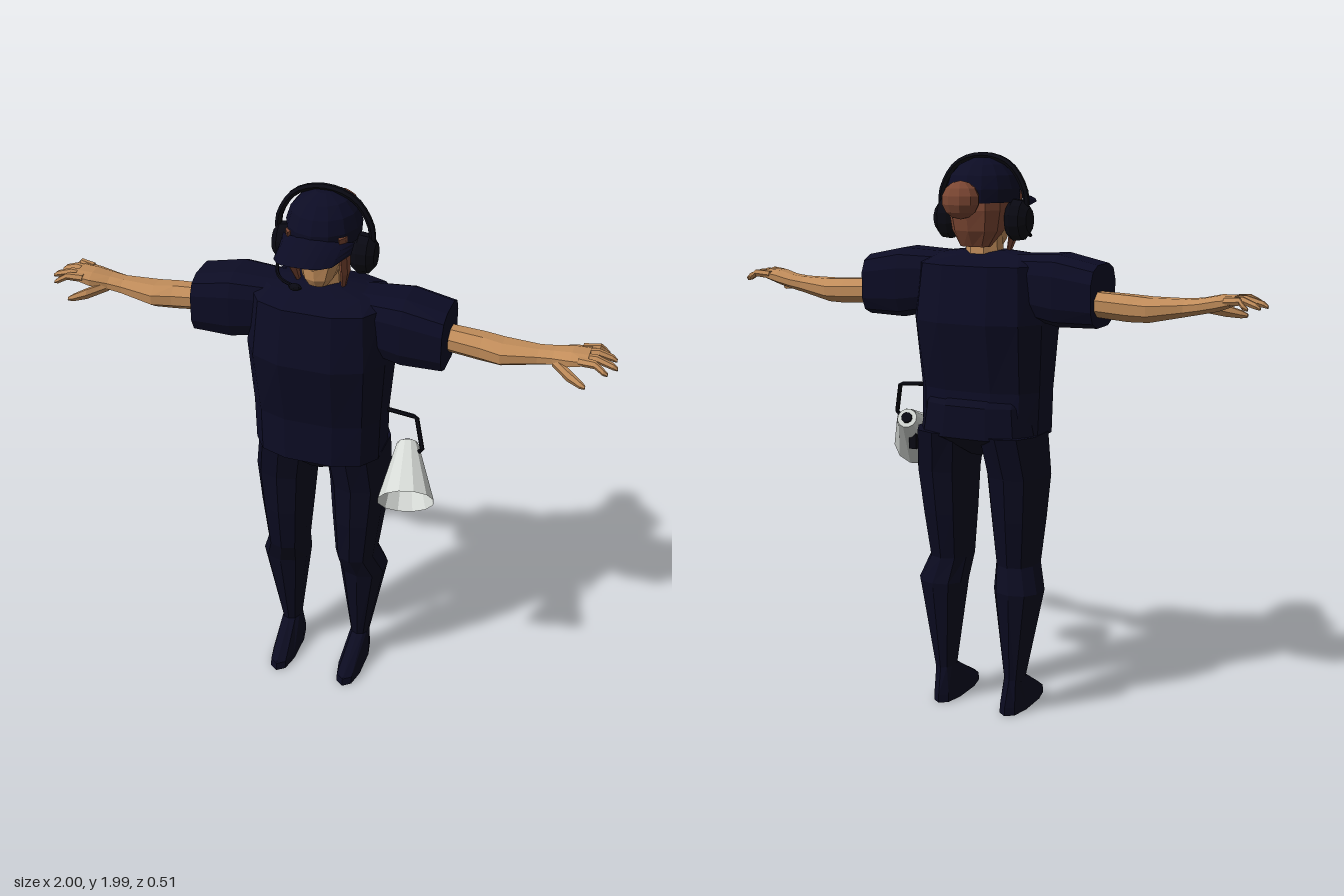
import * as THREE from 'three';

const mat = (name, color) => Object.assign(new THREE.MeshStandardMaterial({ color }), { name });

// Faceted normals
function flat(geo) {
  const g = geo.index ? geo.toNonIndexed() : geo;
  g.computeVertexNormals();
  return g;
}

// Closed skin over rings [y, cx, cz, rx, rz]; e above 2 makes the rings squarer
function loft(rings, n = 10, e = 2) {
  const pos = [], idx = [];
  const pow = (v) => Math.sign(v) * Math.abs(v) ** (2 / e);
  for (const [y, cx, cz, rx, rz] of rings) {
    for (let j = 0; j < n; j++) {
      const a = ((j + 0.5) / n) * Math.PI * 2;
      const k = e > 2 ? 1 : 1 / Math.cos(Math.PI / n);
      pos.push(cx + rx * k * pow(Math.cos(a)), y, cz + rz * k * pow(Math.sin(a)));
    }
  }
  const last = rings.length - 1, bottom = pos.length / 3;
  for (const r of [rings[0], rings[last]]) pos.push(r[1], r[0], r[2]);
  for (let j = 0; j < n; j++) {
    const k = (j + 1) % n;
    for (let i = 0; i < last; i++) {
      const a = i * n + j, b = i * n + k;
      idx.push(a, a + n, b, b, a + n, b + n);
    }
    idx.push(bottom, j, k, bottom + 1, last * n + k, last * n + j);
  }
  const g = new THREE.BufferGeometry();
  g.setAttribute('position', new THREE.Float32BufferAttribute(pos, 3));
  g.setIndex(idx);
  return flat(g);
}

// Loft along x, rings [x, cy, cz, ry, rz]
const loftX = (rings, n, e) =>
  loft(rings.map(([x, cy, cz, ry, rz]) => [x, -cy, cz, ry, rz]), n, e).rotateZ(-Math.PI / 2);

// Ring from z limits: [y, cx, rx, front, back]
const span = (rows) => rows.map(([y, cx, rx, f, b]) => [y, cx, (f + b) / 2, rx, (f - b) / 2]);

// Copy on the other side, with corner order reversed
function mirrored(geo) {
  const g = geo.clone(), p = g.attributes.position;
  for (let i = 0; i < p.count; i += 3) {
    const t = [0, 2, 1].map((k) => [-p.getX(i + k), p.getY(i + k), p.getZ(i + k)]);
    t.forEach((v, k) => p.setXYZ(i + k, ...v));
  }
  g.computeVertexNormals();
  return g;
}

function tube(points, r, straight = false) {
  const vs = points.map((p) => new THREE.Vector3(...p));
  const curve = straight ? new THREE.CurvePath() : new THREE.CatmullRomCurve3(vs);
  if (straight) for (let i = 1; i < vs.length; i++) curve.add(new THREE.LineCurve3(vs[i - 1], vs[i]));
  return flat(new THREE.TubeGeometry(curve, 20, r, 6));
}

export function createModel() {
  const model = new THREE.Group();
  const navy = mat('navy cloth', 0x0c0c24);
  const trousers = mat('dark trousers', 0x0b0b20);
  const black = mat('black plastic', 0x090912);
  const skin = mat('skin', 0xc08c5a);
  const hair = mat('brown hair', 0x7c4733);
  const white = mat('white horn', 0xd6dad6);
  white.side = navy.side = THREE.DoubleSide;

  const add = (name, geo, material) => {
    const m = new THREE.Mesh(geo, material);
    m.name = name;
    model.add(m);
    return m;
  };
  const pair = (name, geo, material) => {
    add('left' + name, geo, material);
    add('right' + name, mirrored(geo), material);
  };

  // Shirt
  add('shirt', loft(span([
    [1.02, 0, 0.232, 0.148, -0.175], [1.18, 0, 0.236, 0.146, -0.165],
    [1.42, 0, 0.252, 0.19, -0.215], [1.615, 0, 0.235, 0.16, -0.187],
    [1.645, 0, 0.2, 0.08, -0.1], [1.66, 0, 0.08, 0.03, -0.06],
  ]), 12, 2.7), navy);
  pair('Sleeve', loftX([
    [0.1, 1.55, -0.02, 0.1, 0.09], [0.3, 1.535, -0.02, 0.125, 0.115],
    [0.44, 1.522, -0.02, 0.108, 0.11],
  ], 12, 3.2), navy);

  // Trousers
  add('hips', loft(span([
    [0.945, 0, 0.04, 0.06, -0.1], [1.02, 0, 0.225, 0.13, -0.2], [1.13, 0, 0.21, 0.12, -0.187],
    [1.17, 0, 0.2, 0.1, -0.15],
  ]), 12, 2.7), trousers);
  pair('Leg', loft(span([
    [0.11, 0.14, 0.033, -0.02, -0.113], [0.46, 0.152, 0.088, 0.035, -0.15],
    [0.55, 0.133, 0.075, 0.072, -0.12], [0.72, 0.137, 0.093, 0.085, -0.145],
    [0.88, 0.14, 0.108, 0.09, -0.165], [1.03, 0.122, 0.112, 0.11, -0.2],
  ]), 10, 2.3), trousers);
  pair('Shoe', loft(span([
    [0, 0.135, 0.046, 0.15, -0.142], [0.03, 0.135, 0.045, 0.145, -0.14],
    [0.13, 0.14, 0.034, -0.022, -0.114],
  ]), 10, 2.5), trousers);

  // Arms and hands
  pair('Arm', loftX([
    [0.435, 1.497, -0.05, 0.042, 0.048], [0.55, 1.49, -0.045, 0.044, 0.053],
    [0.62, 1.488, -0.037, 0.041, 0.06], [0.74, 1.501, -0.032, 0.029, 0.042],
    [0.79, 1.509, -0.032, 0.026, 0.046], [0.85, 1.522, -0.022, 0.026, 0.056],
    [0.905, 1.533, -0.022, 0.016, 0.058],
  ], 8), skin);
  const fingers = [[0.022, 0.048, 0.975], [-0.007, 0.003, 1], [-0.037, -0.05, 0.99], [-0.066, -0.088, 0.96]];
  fingers.forEach(([z0, z1, tip], i) => pair('Finger' + (i + 1), loftX([
    [0.875, 1.532, z0, 0.013, 0.014], [0.93, 1.537, (z0 + z1) / 2, 0.012, 0.012],
    [tip - 0.015, 1.522, z1, 0.01, 0.01], [tip, 1.514, z1, 0.005, 0.006],
  ], 6), skin));
  pair('Thumb', loftX([
    [0.79, 1.503, -0.005, 0.016, 0.016], [0.85, 1.488, 0.045, 0.018, 0.017],
    [0.895, 1.476, 0.07, 0.012, 0.012], [0.912, 1.472, 0.077, 0.006, 0.006],
  ], 6), skin);

  // Head
  add('neck', loft([[1.6, 0, -0.03, 0.066, 0.06], [1.74, 0, -0.03, 0.055, 0.055]], 8), skin);
  add('head', loft(span([
    [1.668, 0, 0.035, 0.06, 0], [1.695, 0, 0.055, 0.075, -0.04], [1.76, 0, 0.078, 0.078, -0.1],
    [1.86, 0, 0.084, 0.078, -0.12],
  ]), 10, 2.3), skin);
  add('nose', flat(new THREE.ConeGeometry(0.014, 0.05, 4)).translate(0, 1.765, 0.08), skin);
  add('hair', loft(span([
    [1.675, 0, 0.055, -0.07, -0.125], [1.73, 0, 0.09, 0.0, -0.155],
    [1.8, 0, 0.102, 0.025, -0.17], [1.87, 0, 0.1, 0.03, -0.165],
  ]), 10, 2.3), hair);
  pair('HairStrand', loft([
    [1.65, 0.078, 0.0, 0.006, 0.01], [1.72, 0.09, 0.02, 0.013, 0.03], [1.86, 0.088, 0.035, 0.014, 0.04],
  ], 6), hair);
  add('hairBun', flat(new THREE.SphereGeometry(1, 10, 7)).scale(0.068, 0.064, 0.054).translate(0, 1.837, -0.206), hair);

  // Cap with curved peak
  add('capCrown', loft([
    [1.825, 0, -0.035, 0.118, 0.138], [1.87, 0, -0.035, 0.122, 0.138], [1.915, 0, -0.037, 0.108, 0.118],
    [1.95, 0, -0.038, 0.078, 0.083], [1.972, 0, -0.038, 0.03, 0.032],
  ], 14), navy);
  const peak = new THREE.PlaneGeometry(2, 1, 10, 3), p = peak.attributes.position;
  for (let i = 0; i < p.count; i++) {
    const u = p.getX(i), v = 0.5 - p.getY(i);
    const inner = -0.035 + 0.135 * Math.sqrt(1 - (0.9 * u) ** 2);
    const outer = 0.06 + 0.195 * Math.sqrt(1 - Math.abs(u) ** 2.4);
    p.setXYZ(i, 0.122 * u, 1.86 - 0.027 * v - 0.028 * u * u, inner + (outer - inner) * v);
  }
  add('capPeak', flat(peak), navy);

  // Headset
  add('headband', tube([
    [-0.16, 1.77, -0.04], [-0.158, 1.86, -0.04], [-0.1, 1.95, -0.04], [0, 1.98, -0.04],
    [0.1, 1.95, -0.04], [0.158, 1.86, -0.04], [0.16, 1.77, -0.04],
  ], 0.012), black);
  pair('EarCup', loftX([
    [0.1, 1.765, -0.04, 0.055, 0.042], [0.12, 1.765, -0.04, 0.07, 0.052],
    [0.155, 1.765, -0.04, 0.066, 0.05], [0.177, 1.765, -0.04, 0.04, 0.032],
  ], 12), black);
  add('micBoom', tube([[-0.145, 1.73, -0.03], [-0.14, 1.708, 0.04], [-0.1, 1.705, 0.11], [-0.04, 1.7, 0.14]], 0.006), black);
  add('mic', flat(new THREE.SphereGeometry(0.014, 8, 6)).scale(1.7, 0.9, 0.9).translate(-0.042, 1.7, 0.14), black);

  // Loudhailer hanging at the left hip
  const horn = new THREE.Group();
  horn.name = 'loudhailer';
  const back = new THREE.Vector3(0.305, 1.035, -0.05), mouth = new THREE.Vector3(0.352, 0.92, 0.125);
  const length = back.distanceTo(mouth);
  const part = (name, geo, material) => {
    const m = new THREE.Mesh(flat(geo), material);
    m.name = name;
    horn.add(m);
  };
  part('hornBell', new THREE.CylinderGeometry(0.1, 0.04, length, 12, 1, true), white);
  part('hornBack', new THREE.CylinderGeometry(0.04, 0.036, 0.015, 12).translate(0, -length / 2, 0), white);
  part('hornBackCap', new THREE.CylinderGeometry(0.02, 0.02, 0.012, 10).translate(0, -length / 2 - 0.01, 0), black);
  part('hornDriver', new THREE.CylinderGeometry(0.016, 0.016, 0.1, 8).translate(0, -length / 2 + 0.05, 0), black);
  horn.position.copy(back).lerp(mouth, 0.5);
  horn.quaternion.setFromUnitVectors(new THREE.Vector3(0, 1, 0), mouth.clone().sub(back).normalize());
  model.add(horn);
  add('hornGrip', flat(new THREE.BoxGeometry(0.03, 0.09, 0.035)).translate(0.295, 0.965, -0.015), black);
  add('hornStrap', tube([[0.21, 1.172, -0.05], [0.335, 1.162, -0.045], [0.368, 1.05, -0.015], [0.335, 1.025, -0.015]], 0.008, true), black);

  return model;
}
